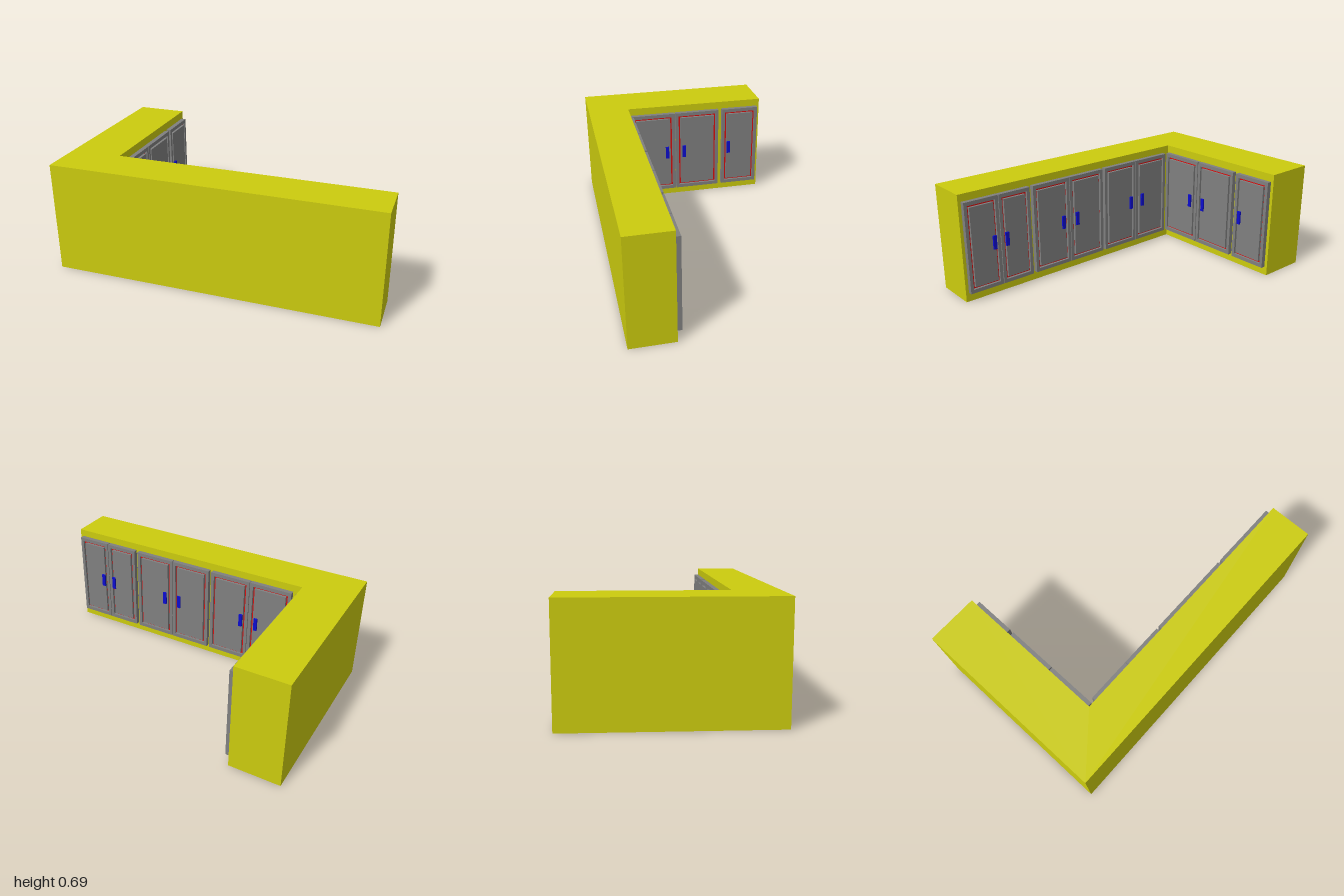
import * as THREE from 'three';

const mat = (color) => new THREE.MeshStandardMaterial({ color });
const yellow = mat(0xcccc0e), grey = mat(0x808080), red = mat(0xd80c0c), blue = mat(0x0c0cd0);

function add(parent, name, geometry, material, x = 0, y = 0, z = 0) {
  const mesh = new THREE.Mesh(geometry, material);
  mesh.name = name;
  mesh.position.set(x, y, z);
  parent.add(mesh);
  return mesh;
}

function rect(target, w, h) {
  target.moveTo(-w / 2, -h / 2);
  target.lineTo(w / 2, -h / 2);
  target.lineTo(w / 2, h / 2);
  target.lineTo(-w / 2, h / 2);
  target.closePath();
  return target;
}

// A door facing local +z, its back on z = 0: frame, sunken red groove, panel and handle
function makeDoor(name, w, handleX) {
  const H = 0.585, T = 0.03, base = 0.014, margin = 0.021, groove = 0.013;
  const door = new THREE.Group();
  door.name = name;
  const openW = w - 2 * margin, openH = H - 2 * (margin + 0.003);
  const frame = rect(new THREE.Shape(), w, H);
  frame.holes.push(rect(new THREE.Path(), openW, openH));
  add(door, 'doorFrame', new THREE.ExtrudeGeometry(frame, { depth: T, bevelEnabled: false }), grey);
  add(door, 'grooveFloor', new THREE.BoxGeometry(openW, openH, base), red, 0, 0, base / 2);
  add(door, 'doorPanel', new THREE.BoxGeometry(openW - 2 * groove, openH - 2 * groove, T - base),
    grey, 0, 0, (T + base) / 2);
  add(door, 'handle', new THREE.BoxGeometry(0.023, 0.088, 0.012), blue, handleX, 0, T + 0.005);
  return door;
}

export function createModel() {
  const model = new THREE.Group();
  model.name = 'cornerCabinet';

  // L-shaped body, outlined as (x, -z)
  const plan = new THREE.Shape([[-1, -0.61], [1, -0.61], [1, -0.34], [-0.68, -0.34], [-0.68, 0.61], [-1, 0.61]]
    .map(([x, y]) => new THREE.Vector2(x, y)));
  const body = new THREE.ExtrudeGeometry(plan, { depth: 0.69, bevelEnabled: false });
  body.rotateX(-Math.PI / 2);
  add(model, 'cabinetBody', body, yellow);

  // Long wing, doors face -z: [x start, x end, handle x]
  [[-0.625, -0.346, -0.402], [-0.342, -0.067, -0.295], [-0.048, 0.224, 0.172],
    [0.228, 0.504, 0.283], [0.528, 0.748, 0.708], [0.752, 0.98, 0.796]].forEach(([a, b, h], i) => {
    const c = (a + b) / 2;
    const door = makeDoor('longWingDoor' + (i + 1), b - a, c - h);
    door.rotation.y = Math.PI;
    door.position.set(c, 0.351, 0.34);
    model.add(door);
  });

  // Short wing, doors face +x: [z start, z end, handle z]
  [[0.016, 0.326, 0.075], [-0.302, 0.01, -0.047], [-0.59, -0.33, -0.378]].forEach(([a, b, h], i) => {
    const c = (a + b) / 2;
    const door = makeDoor('shortWingDoor' + (i + 1), b - a, c - h);
    door.rotation.y = Math.PI / 2;
    door.position.set(-0.68, 0.348, c);
    model.add(door);
  });

  return model;
}
